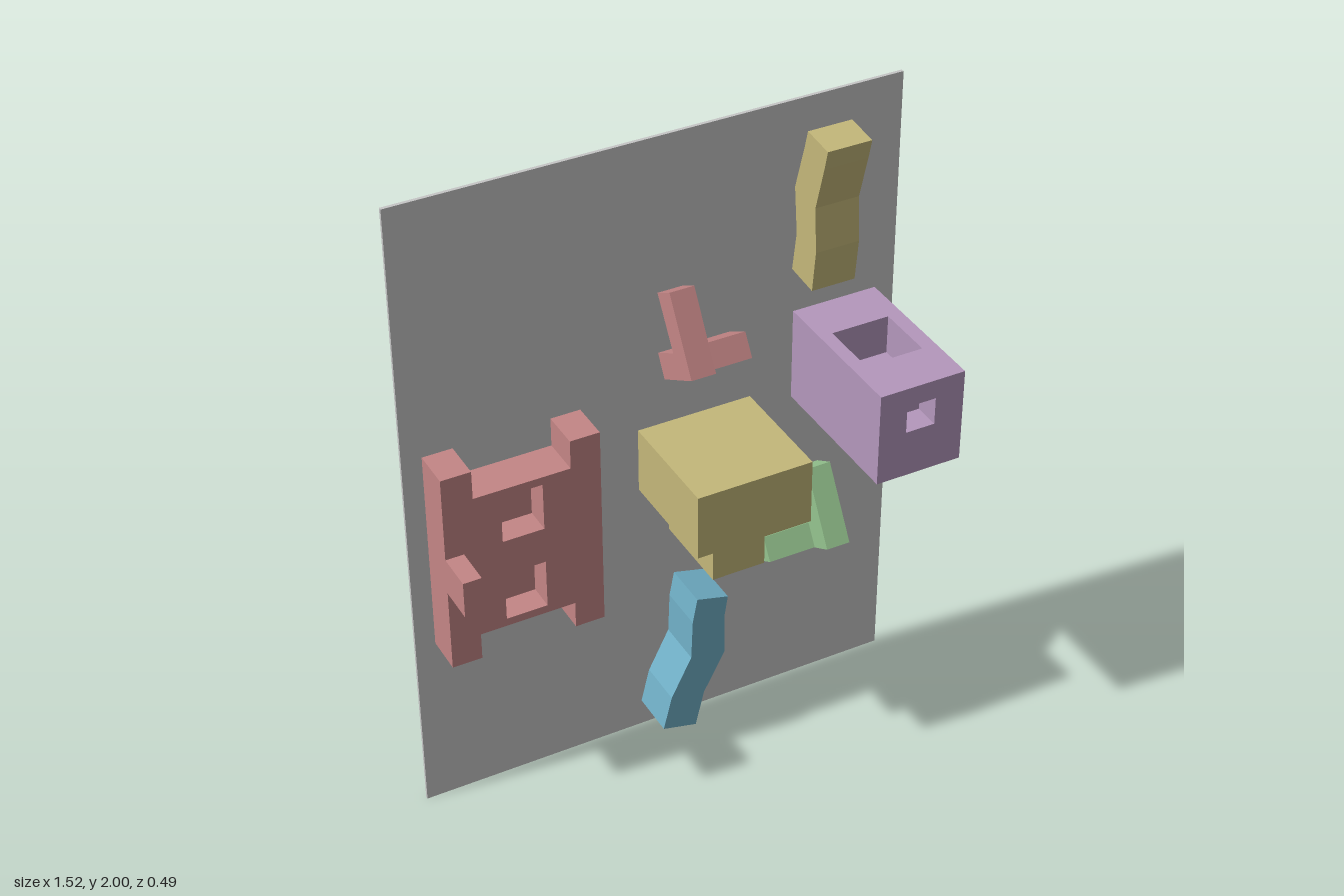
import * as THREE from 'three';
import { mergeGeometries } from 'three/addons/utils/BufferGeometryUtils.js';

const mat = (name, color) => {
  const m = new THREE.MeshStandardMaterial({ color });
  m.name = name;
  return m;
};

const WALL = -0.235; // front surface of the backing panel

const polygon = (pts) => new THREE.Shape(pts.map(([x, y]) => new THREE.Vector2(x, y)));
const rect = (x0, x1, y0, y1) => polygon([[x0, y0], [x1, y0], [x1, y1], [x0, y1]]);

// Box from its limits
function box(x0, x1, y0, y1, z0, z1) {
  return new THREE.BoxGeometry(x1 - x0, y1 - y0, z1 - z0)
    .translate((x0 + x1) / 2, (y0 + y1) / 2, (z0 + z1) / 2);
}

// Front outline extruded in z
function frontPrism(shape, z0, z1) {
  return new THREE.ExtrudeGeometry(shape, { depth: z1 - z0, bevelEnabled: false }).translate(0, 0, z0);
}

// Side outline of [z, y] points extruded in x
function sidePrism(pts, x0, x1) {
  return new THREE.ExtrudeGeometry(polygon(pts.map(([z, y]) => [-z, y])), { depth: x1 - x0, bevelEnabled: false })
    .rotateY(Math.PI / 2).translate(x0, 0, 0);
}

// Flat face w x h looking along +z, with a square-edged pocket sunk into it
function pocketFace(w, h, [x0, x1, y0, y1], depth) {
  const shape = rect(-w / 2, w / 2, -h / 2, h / 2);
  shape.holes.push(rect(x0, x1, y0, y1));
  const pocket = box(x0, x1, y0, y1, -depth, 0);
  const idx = Array.from(pocket.index.array);
  idx.splice(24, 6); // open the mouth
  pocket.setIndex(idx.reverse()); // show the inside
  const n = pocket.attributes.normal;
  for (let i = 0; i < n.count; i++) n.setXYZ(i, -n.getX(i), -n.getY(i), -n.getZ(i));
  return mergeGeometries([new THREE.ShapeGeometry(shape), pocket]);
}

export function createModel() {
  const model = new THREE.Group();
  model.name = 'climbingWall';
  const grey = mat('panel grey', 0xc6c6c6);
  const red = mat('dusty red', 0xc48686);
  const yellow = mat('olive yellow', 0xc4b87a);
  const purple = mat('soft purple', 0xb497bc);
  const blue = mat('soft blue', 0x70afc6);
  const green = mat('soft green', 0x95c48f);

  const add = (name, material, geometry, parent = model) => {
    const mesh = new THREE.Mesh(geometry, material);
    mesh.name = name;
    parent.add(mesh);
    return mesh;
  };
  const group = (name) => {
    const g = new THREE.Group();
    g.name = name;
    model.add(g);
    return g;
  };

  // Backing panel
  add('backPanel', grey, box(-0.76, 0.76, 0, 2, -0.245, WALL));

  // Ladder-like frame: pocketed front layer on a solid back layer
  const frame = group('ladderFrame');
  const outline = () => polygon([
    [-0.7, 0.57], [-0.61, 0.57], [-0.61, 0.655], [-0.32, 0.655], [-0.32, 0.57], [-0.23, 0.57],
    [-0.23, 1.215], [-0.32, 1.215], [-0.32, 1.125], [-0.61, 1.125], [-0.61, 1.215], [-0.7, 1.215],
  ]);
  const holed = outline();
  holed.holes.push(rect(-0.53, -0.405, 0.95, 1.1), rect(-0.53, -0.405, 0.68, 0.835));
  add('frameBack', red, frontPrism(outline(), WALL, -0.195), frame);
  add('frameFront', red, frontPrism(holed, -0.195, -0.115), frame);
  add('frameKnob', red, box(-0.7, -0.645, 0.835, 0.95, -0.115, 0), frame);

  // Stepped block
  const step = group('steppedBlock');
  add('upperBlock', yellow, box(-0.055, 0.3, 0.88, 1.085, WALL, 0.12), step);
  add('lowerBlock', yellow, box(0.04, 0.205, 0.705, 0.88, WALL, 0.03), step);

  // Deep box with pockets in its front, top and underside
  const deep = group('pocketBox');
  const W = 0.265, H = 0.29, D = 0.475;
  const face = (name, geometry) => add(name, purple, geometry, deep);
  face('boxFront', pocketFace(W, H, [-0.047, 0.043, 0, 0.085], 0.08).translate(0, 0, D / 2));
  face('boxTop', pocketFace(W, D, [-0.092, 0.088, -0.09, 0.09], 0.12).rotateX(-Math.PI / 2).translate(0, H / 2, 0));
  face('boxUnderside', pocketFace(W, D, [-0.085, 0.035, 0.06, 0.19], 0.1).rotateX(Math.PI / 2).translate(0, -H / 2, 0));
  for (const s of [-1, 1]) {
    face(s > 0 ? 'boxLeftSide' : 'boxRightSide',
      new THREE.PlaneGeometry(D, H).rotateY(s * Math.PI / 2).translate(s * W / 2, 0, 0));
  }
  face('boxBack', new THREE.PlaneGeometry(W, H).rotateY(Math.PI).translate(0, 0, -D / 2));
  deep.position.set(0.567, 1.185, 0.0025);
  // Top pocket is centred on z = 0

  // Three-armed corner brackets, mirrored left to right
  const arm = [[-0.04, 0.61], [-0.165, 0.82], [-0.235, 0.78], [-0.145, 0.637], [-0.235, 0.585], [-0.197, 0.52]];
  const bar = [[-0.11, 0.571], [-0.15, 0.635], [-0.235, 0.585], [-0.197, 0.52]];
  const bracket = (name, material, armX, barX, dy) => {
    const g = group(name);
    add('bracketArm', material, sidePrism(arm, ...armX), g);
    add('bracketBar', material, sidePrism(bar, ...barX), g);
    g.position.y = dy;
  };
  bracket('greenBracket', green, [0.455, 0.53], [0.305, 0.455], 0);
  bracket('redBracket', red, [0.01, 0.085], [0.085, 0.235], 0.74);

  // Bent bars
  add('blueBentBar', blue, frontPrism(polygon([
    [0.05, 0.065], [0.077, 0.18], [0.145, 0.31], [0.145, 0.45], [0.155, 0.515],
    [0.055, 0.54], [0.04, 0.46], [0.035, 0.33], [-0.03, 0.2], [-0.057, 0.09],
  ]), WALL, -0.09));
  add('yellowBentBar', yellow, sidePrism([
    [-0.06, 1.93], [-0.075, 1.87], [-0.115, 1.73], [-0.105, 1.595], [-0.12, 1.465],
    [-0.23, 1.475], [-0.21, 1.6], [-0.225, 1.74], [-0.18, 1.885], [-0.165, 1.94],
  ], 0.425, 0.56));

  return model;
}
